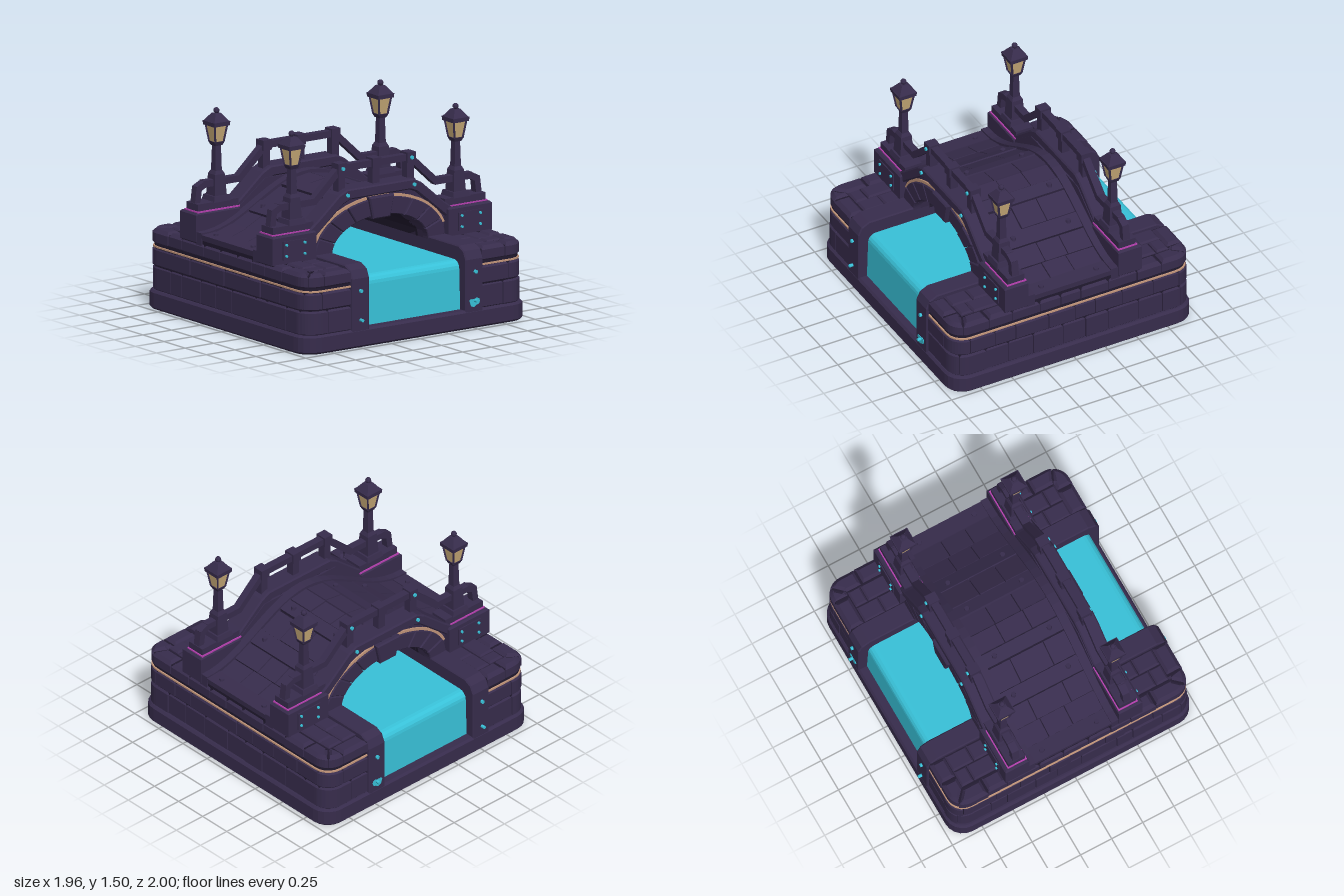
import * as THREE from 'three';

const mat = (name, color) => {
  const m = new THREE.MeshStandardMaterial({ color, flatShading: true });
  m.name = name;
  return m;
};

export function createModel() {
  const stone = mat('dark purple stone', 0x372c4c);
  const gap = mat('deep mortar', 0x211a2f);
  const water = mat('water', 0x38c1d8);
  const tan = mat('tan seam', 0xc2957a);
  const glow = mat('lantern glass', 0xc9ab78);
  const pink = mat('magenta trim', 0xb43fae);

  const model = new THREE.Group();
  model.name = 'canalBridge';
  let seed = 7;
  const rnd = () => (seed = (seed * 16807) % 2147483647) / 2147483647;

  const add = (name, geo, m, parent = model) => {
    const mesh = new THREE.Mesh(geo, m);
    mesh.name = name;
    parent.add(mesh);
    return mesh;
  };
  // box given by its two extents on each axis
  const box = (name, x0, x1, y0, y1, z0, z1, m = stone, parent = model) => {
    const b = add(name, new THREE.BoxGeometry(Math.abs(x1 - x0), y1 - y0, Math.abs(z1 - z0)), m, parent);
    b.position.set((x0 + x1) / 2, (y0 + y1) / 2, (z0 + z1) / 2);
    return b;
  };
  const shapeOf = pts => new THREE.Shape(pts.map(p => new THREE.Vector2(p[0], p[1])));
  const extrude = (pts, depth, bevel = 0) => new THREE.ExtrudeGeometry(shapeOf(pts), {
    depth: depth - 2 * bevel, bevelEnabled: bevel > 0, bevelThickness: bevel,
    bevelSize: bevel, bevelOffset: -bevel, bevelSegments: 1, steps: 1,
  }).translate(0, 0, bevel);
  // front-facing outline pushed from z0 to z1
  const slab = (name, pts, z0, z1, m = stone, bevel = 0) =>
    add(name, extrude(pts, z1 - z0, bevel).translate(0, 0, z0), m);
  // plan outline raised from y0 to y1
  const floor = (name, pts, y0, y1, m = stone, bevel = 0) =>
    add(name, extrude(pts, y1 - y0, bevel).rotateX(-Math.PI / 2).translate(0, y0, 0), m);
  // (z, y) outline pushed from x0 to x1
  const across = (name, pts, x0, x1, m, bevel = 0) =>
    add(name, extrude(pts, x1 - x0, bevel).rotateY(Math.PI / 2).translate(x0, 0, 0)
      .scale(1, 1, 1), m);
  const bolt = (name, x, y, z, r = 0.014, m = water, depth = 0.02) => {
    const b = add(name, new THREE.CylinderGeometry(r, r, depth, 8), m);
    b.rotation.x = Math.PI / 2;
    b.position.set(x, y, z);
    return b;
  };

  // Plinth
  const roundRect = (hx, hz, r, n = 5) => {
    const pts = [];
    [[1, 1], [-1, 1], [-1, -1], [1, -1]].forEach(([sx, sz], q) => {
      for (let i = 0; i <= n; i++) {
        const a = (q + i / n) * Math.PI / 2;
        pts.push([sx * (hx - r) + r * Math.cos(a), sz * (hz - r) + r * Math.sin(a)]);
      }
    });
    return pts;
  };
  floor('plinth', roundRect(0.98, 0.97, 0.14), 0, 0.135, stone, 0.015);

  // Water with rounded falls at both ends
  const wp = [[-0.9, 0.12], [0.9, 0.12]];
  for (const s of [1, -1]) for (let i = 0; i <= 4; i++) {
    const a = (s > 0 ? i : 4 - i) / 4 * Math.PI / 2;
    wp.push([s * (0.83 + 0.06 * Math.cos(a)), 0.425 + 0.06 * Math.sin(a)]);
  }
  across('water', wp, -0.43, 0.43, water);

  // Point on the outside of a bank, s along a path from front to back
  const R = 0.13, X = 0.96, Z = 0.955, L1 = X - R - 0.57, LA = R * Math.PI / 2, L2 = 2 * (Z - R);
  const total = 2 * L1 + 2 * LA + L2;
  const rim = (s, off) => {
    if (s > total / 2) { const [x, z] = rim(total - s, off); return [x, -z]; }
    if (s < L1) return [0.57 + s, Z - off];
    if (s < L1 + LA) {
      const a = Math.PI / 2 - (s - L1) / R;
      return [X - R + (R - off) * Math.cos(a), Z - R + (R - off) * Math.sin(a)];
    }
    return [X - off, Z - R - (s - L1 - LA)];
  };
  const strip = (s0, s1, off, depth, sx, n = 10) => {
    const out = [], inn = [];
    for (let i = 0; i <= n; i++) {
      const s = s0 + (s1 - s0) * i / n;
      out.push(rim(s, off));
      inn.unshift(rim(s, off + depth));
    }
    return [...out, ...inn].map(([x, z]) => [sx * x, z]);
  };
  const courses = [[0.13, 0.305, 0.012], [0.305, 0.437, 0.014], [0.457, 0.575, 0.026]];
  for (const sx of [1, -1]) {
    // Banks: mortar core, tan seam, three courses of blocks
    floor('bankCore', strip(0, total, 0.014, 0.1, sx, 60), 0.12, 0.555, gap);
    box('bankFill', sx * 0.5, sx * 0.88, 0.12, 0.555, -0.88, 0.88, gap);
    floor('tanSeam', strip(0, total, 0.003, 0.1, sx, 60), 0.441, 0.453, tan);
    courses.forEach(([y0, y1, bevel], row) => {
      const n = 13 - row % 2;
      const cuts = [0];
      for (let i = 1; i < n; i++) cuts.push(total * (i + (rnd() - 0.5) * 0.45) / n);
      cuts.push(total);
      for (let i = 0; i < n; i++) {
        const off = (rnd() - 0.3) * 0.008;
        floor('bankBlock', strip(cuts[i] + 0.003, cuts[i + 1] - 0.003, off, 0.125, sx), y0, y1, stone, bevel);
      }
    });
    for (const sz of [1, -1]) {
      // Paving on the bank corners
      for (const [a, b, c, d] of [[0.575, 0.7, 0.53, 0.66], [0.575, 0.7, 0.665, 0.83],
        [0.705, 0.83, 0.53, 0.73], [0.705, 0.83, 0.735, 0.83]])
        floor('pavingStone', [[sx * a, sz * c], [sx * b, sz * c], [sx * b, sz * d], [sx * a, sz * d]],
          0.5, 0.568 + rnd() * 0.012, stone, 0.012);
      bolt('jambBolt', sx * 0.5, 0.41, sz * 0.975);
      bolt('jambBolt', sx * 0.5, 0.2, sz * 0.985, 0.012, water, 0.03);
    }
    // Channel jamb with rounded shoulders
    const j = [[-0.968, 0.12], [0.968, 0.12], [0.968, 0.5], [0.94, 0.56], [0.88, 0.59],
      [-0.88, 0.59], [-0.94, 0.56], [-0.968, 0.5]];
    across('channelJamb', j, sx > 0 ? 0.42 : -0.572, sx > 0 ? 0.572 : -0.42, stone, 0.008);
  }
  // Splash marks
  for (const sz of [1, -1])
    for (const [x, y, r] of [[0.485, 0.185, 0.03], [0.515, 0.195, 0.026], [0.465, 0.2, 0.015]])
      bolt('splash', x, y, sz * 0.968, r, water, 0.008);

  // Deck with arched underside
  const h = x => 0.62 + 0.165 * (1 + Math.cos(Math.PI * Math.min(1, Math.abs(x) / 0.92)));
  const arc = (a, b, y, t0, t1, n) => Array.from({ length: n + 1 }, (_, i) => {
    const t = t0 + (t1 - t0) * i / n;
    return [a * Math.cos(t), y + b * Math.sin(t)];
  });
  const crown = (lift, end) => Array.from({ length: 25 }, (_, i) => {
    const x = end - 2 * end * i / 24;
    return [x, h(x) + lift];
  });
  const under = arc(0.42, 0.24, 0.57, Math.PI, 0, 14);
  const deckProfile = (lift, end) => [[-end, 0.55], [-0.42, 0.55], ...under, [0.42, 0.55], [end, 0.55], ...crown(lift, end)];
  slab('deckBody', deckProfile(-0.015, 0.94), -0.4, 0.4, gap);
  for (const sz of [1, -1])
    slab('deckKerb', deckProfile(0.025, 0.95), sz > 0 ? 0.305 : -0.375, sz > 0 ? 0.375 : -0.305);

  // Deck planks and cobbles follow the crown
  const tile = (name, x0, x1, z0, z1, lift) => {
    const a = Math.atan2(h(x1) - h(x0), x1 - x0);
    const t = add(name, new THREE.BoxGeometry(Math.hypot(x1 - x0, h(x1) - h(x0)) - 0.007, 0.04, z1 - z0 - 0.007), stone);
    t.position.set((x0 + x1) / 2, (h(x0) + h(x1)) / 2 - 0.02 + lift, (z0 + z1) / 2);
    t.rotation.z = a;
  };
  const cols = [0, 0.15, 0.25, 0.42, 0.53, 0.675, 0.82, 0.95];
  for (const sx of [1, -1]) for (let c = 0; c < 7; c++) {
    const [x0, x1] = sx > 0 ? [cols[c], cols[c + 1]] : [-cols[c + 1], -cols[c]];
    if (c === 1 || c === 3 || c === 6) {
      tile('deckPlank', x0, x1, -0.31, 0.31, 0.012);
      for (const z of [-0.22, 0.22]) {
        const b = add('deckBolt', new THREE.CylinderGeometry(0.018, 0.022, 0.03, 7), stone);
        b.position.set((x0 + x1) / 2, h((x0 + x1) / 2) + 0.014, z);
      }
    } else {
      const cuts = [-0.31, -0.16 + rnd() * 0.08, 0.06 + rnd() * 0.1, 0.31];
      for (let i = 0; i < 3; i++) tile('cobble', x0, x1, cuts[i], cuts[i + 1], rnd() * 0.008);
    }
  }

  // Straight bar between two points in a vertical plane
  const bar = (name, p, q, z, w, d) => {
    const b = add(name, new THREE.BoxGeometry(Math.hypot(q[0] - p[0], q[1] - p[1]) + w * 0.5, w, d), stone);
    b.position.set((p[0] + q[0]) / 2, (p[1] + q[1]) / 2, z);
    b.rotation.z = Math.atan2(q[1] - p[1], q[0] - p[0]);
  };
  const mirrored = half => [...half, ...half.slice().reverse().map(([x, y]) => [-x, y])];
  const coping = [...mirrored([[0.62, 0.78], [0.55, 0.83], [0.36, 0.99], [0.29, 1.025]]),
    ...mirrored([[-0.62, 0.69], [-0.57, 0.72], [-0.32, 0.925], [-0.26, 0.95]])];
  const spandrel = [[-0.62, 0.56], [-0.42, 0.56], ...under, [0.42, 0.56], [0.62, 0.56],
    ...mirrored([[0.62, 0.74], [0.34, 0.95]])];
  const seam = [...arc(0.59, 0.365, 0.585, 0.25, Math.PI - 0.25, 16), ...arc(0.56, 0.34, 0.585, Math.PI - 0.25, 0.25, 16)];
  const rail = [[0, 1.17], [0.3, 1.17], [0.53, 0.962], [0.83, 0.962], [0.885, 0.935], [0.9, 0.82]];

  for (const sz of [1, -1]) {
    const span = (name, pts, near, far, m, bevel) =>
      slab(name, pts, sz > 0 ? near : -far, sz > 0 ? far : -near, m, bevel);
    // Parapet wall, tan seam, arch stones, keystone and coping
    span('parapetWall', spandrel, 0.37, 0.5, stone);
    span('archSeam', seam, 0.495, 0.512, tan);
    const N = 9;
    for (let i = 0; i < N; i++) {
      if (i === 4) continue;
      const t0 = Math.PI * i / N + 0.008, t1 = Math.PI * (i + 1) / N - 0.008;
      span('archStone', [...arc(0.565, 0.345, 0.585, t0, t1, 4), ...arc(0.418, 0.235, 0.57, t1, t0, 4)],
        0.46, 0.522 + rnd() * 0.006, stone, 0.006);
    }
    span('keystone', [[-0.075, 0.785], [0.075, 0.785], [0.11, 0.945], [-0.11, 0.945]], 0.38, 0.55, stone, 0.01);
    span('coping', coping, 0.375, 0.53, stone, 0.01);

    const z = sz * 0.445;
    // Railing
    for (const sx of [1, -1]) {
      for (let i = 0; i < rail.length - 1; i++)
        bar('handrail', [sx * rail[i][0], rail[i][1]], [sx * rail[i + 1][0], rail[i + 1][1]], z, 0.048, 0.055);
      bolt('railBolt', sx * 0.3, 1.17, sz * 0.49);
      bolt('railBolt', sx * 0.29, 0.985, sz * 0.533);
    }
    for (const x of [-0.3, 0, 0.3]) {
      box('railPost', x - 0.03, x + 0.03, 1.0, 1.15, z - 0.03, z + 0.03);
      box('railCollar', x - 0.037, x + 0.037, 1.135, 1.208, z - 0.042, z + 0.042);
    }

    for (const sx of [1, -1]) {
      // End pier with trim, cap and bolted plate
      const pier = [[0.575, 0.36], [0.957, 0.36], [0.957, 0.55], [0.575, 0.55]].map(([a, b]) => [sx * a, sz * b]);
      floor('pier', pier, 0.56, 0.776, stone, 0.012);
      box('pierTrim', sx * 0.565, sx * 0.938, 0.774, 0.785, sz * 0.368, sz * 0.522, pink);
      box('pierCap', sx * 0.572, sx * 0.928, 0.78, 0.835, sz * 0.377, sz * 0.513);
      box('pierPlate', sx * 0.66, sx * 0.87, 0.6, 0.735, sz * 0.548, sz * 0.558);
      for (const x of [0.685, 0.845]) for (const y of [0.63, 0.71])
        bolt('plateBolt', sx * x, y, sz * 0.56, 0.01);

      // Lamp
      const lamp = new THREE.Group();
      lamp.name = 'lamp';
      lamp.position.set(sx * 0.715, 0, z);
      model.add(lamp);
      const sq = (name, bottom, top, y0, y1, m = stone) => {
        const k = Math.SQRT1_2;
        const g = new THREE.CylinderGeometry(top * k, bottom * k, y1 - y0, 4);
        g.rotateY(Math.PI / 4);
        add(name, g, m, lamp).position.y = (y0 + y1) / 2;
      };
      sq('lampFoot', 0.15, 0.13, 0.83, 0.87);
      sq('lampBase', 0.105, 0.085, 0.86, 1.02);
      sq('lampCollar', 0.085, 0.06, 1.02, 1.045);
      sq('lampPole', 0.055, 0.045, 1.04, 1.23);
      sq('lanternSeat', 0.06, 0.085, 1.225, 1.255);
      sq('lanternGlass', 0.07, 0.108, 1.25, 1.375, glow);
      for (const a of [1, -1]) for (const b of [1, -1]) {
        const p = new THREE.LineCurve3(new THREE.Vector3(a * 0.036, 1.25, b * 0.036), new THREE.Vector3(a * 0.055, 1.378, b * 0.055));
        add('lanternFrame', new THREE.TubeGeometry(p, 1, 0.009, 4), stone, lamp);
      }
      sq('lanternEave', 0.135, 0.14, 1.37, 1.4);
      sq('lanternRoof', 0.13, 0.05, 1.4, 1.455);
      add('lanternFinial', new THREE.SphereGeometry(0.022, 8, 6), stone, lamp).position.y = 1.475;
    }
  }
  return model;
}
